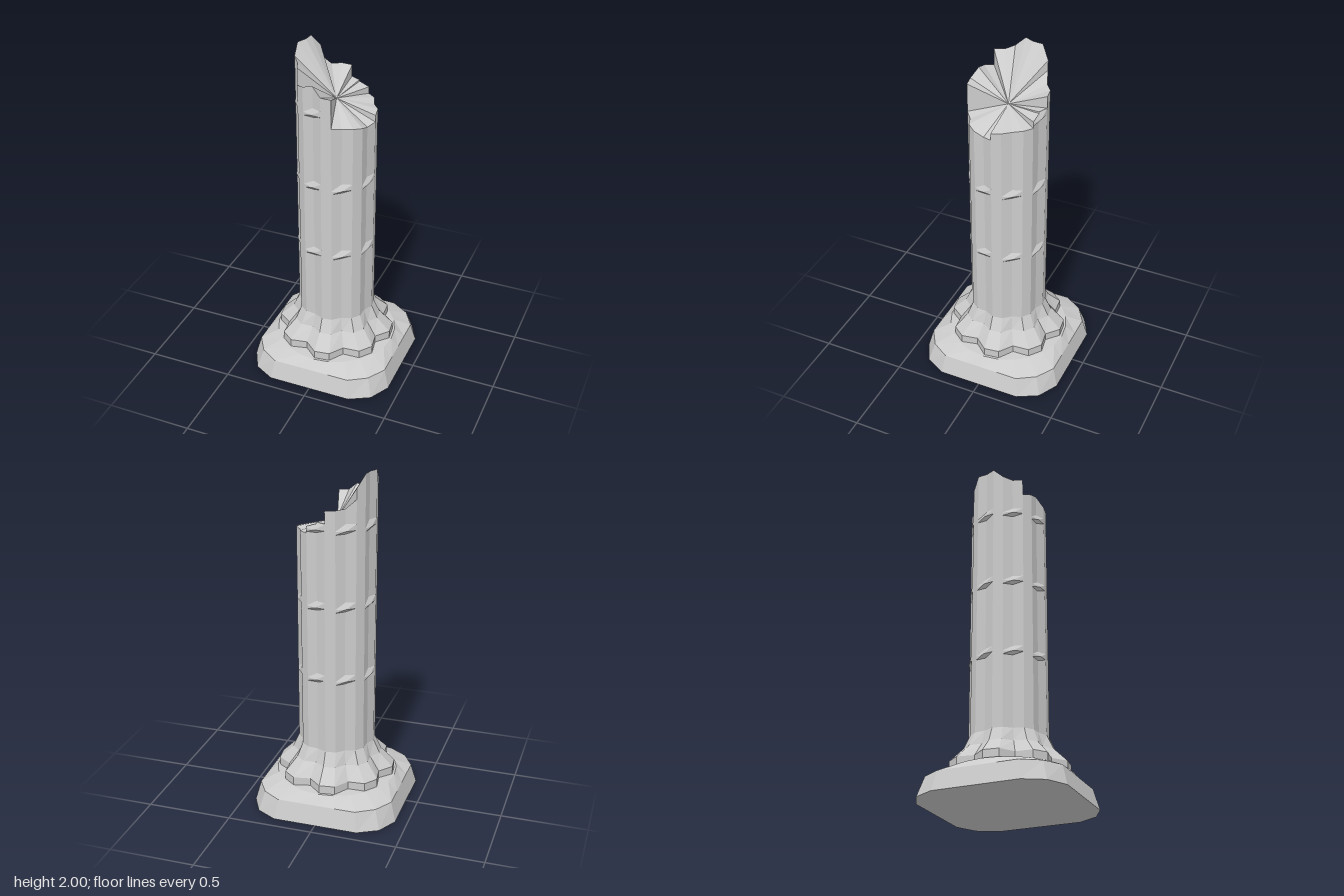
import * as THREE from 'three';

const N = 24; // three columns per flute: two on the ridge, one in the groove
const material = new THREE.MeshStandardMaterial({ color: 0xcccccc, flatShading: true, side: THREE.DoubleSide });

const isGroove = (i) => i % 3 === 2;
const polar = (i, r, y) => {
  const a = (i / N) * Math.PI * 2;
  return [Math.sin(a) * r, y, Math.cos(a) * r];
};

function makeMesh(name, triangles) {
  const geometry = new THREE.BufferGeometry();
  geometry.setAttribute('position', new THREE.Float32BufferAttribute(triangles.flat(2), 3));
  geometry.computeVertexNormals();
  const mesh = new THREE.Mesh(geometry, material);
  mesh.name = name;
  return mesh;
}

// Joins a stack of rings, each a function from column index to a point
function loft(rings) {
  const tris = [];
  for (let k = 0; k + 1 < rings.length; k++) {
    for (let i = 0; i < N; i++) {
      const j = (i + 1) % N;
      const a = rings[k](i), b = rings[k](j), c = rings[k + 1](j), d = rings[k + 1](i);
      tris.push([a, b, c], [a, c, d]);
    }
  }
  return tris;
}

// Square ring with chamfered corners
const squareRing = (half, corner, y) => (i) => {
  const a = (i / N) * Math.PI * 2;
  const straight = half / Math.max(Math.abs(Math.sin(a)), Math.abs(Math.cos(a)));
  return polar(i, Math.min(straight, i % 6 === 3 ? corner : Infinity), y);
};
const roundRing = (r, y) => (i) => polar(i, r, y);
const flutedRing = (ridge, groove, y) => (i) => polar(i, isGroove(i) ? groove : ridge, y);

// Shaft: the grooves close up at each drum joint
const RIDGE = 0.225, GROOVE = 0.207, SHAFT_Y = 0.375;
const JOINTS = [0.82, 1.255, 1.7];
function shaftRadius(i, y) {
  if (!isGroove(i)) return RIDGE;
  let r = GROOVE;
  for (const joint of JOINTS) {
    const reach = y > joint ? 0.035 : 0.02;
    r = Math.max(r, THREE.MathUtils.lerp(RIDGE, GROOVE, Math.min(1, Math.abs(y - joint) / reach)));
  }
  return r;
}

// Height of the break at each column; a pair is a sudden step
const BREAK = [
  1.815, [1.81, 1.64], 1.63, 1.63, 1.62, 1.6,
  [1.61, 1.65], 1.66, 1.66, 1.67, [1.67, 1.71], [1.73, 1.74],
  [1.74, 1.81], 1.815, 1.82, [1.87, 1.93], 2, 2,
  2, 1.945, 1.93, [1.93, 1.83], 1.845, 1.86,
].map((h) => (Array.isArray(h) ? h : [h, h]));

function shaftTriangles() {
  const levels = [SHAFT_Y, ...JOINTS.flatMap((y) => [y - 0.02, y, y + 0.035]), 2];
  const tris = [];
  for (let i = 0; i < N; i++) {
    const j = (i + 1) % N;
    const point = (col, y, top) => {
      const h = Math.min(y, top);
      return polar(col, shaftRadius(col, h), h);
    };
    for (let k = 0; k + 1 < levels.length; k++) {
      const a = point(i, levels[k], BREAK[i][1]), b = point(j, levels[k], BREAK[j][0]);
      const c = point(j, levels[k + 1], BREAK[j][0]), d = point(i, levels[k + 1], BREAK[i][1]);
      if (c[1] > b[1]) tris.push([a, b, c]);
      if (d[1] > a[1]) tris.push([a, c, d]);
    }
  }
  return tris;
}

// Jagged facets running from the rim to the middle, with walls at the steps
function breakTriangles() {
  const centre = [0, 1.71, 0];
  const rim = (i, side) => polar(i, shaftRadius(i, BREAK[i][side]), BREAK[i][side]);
  const tris = [];
  for (let i = 0; i < N; i++) {
    tris.push([rim(i, 1), rim((i + 1) % N, 0), centre]);
    if (BREAK[i][0] !== BREAK[i][1]) tris.push([centre, rim(i, 0), rim(i, 1)]);
  }
  return tris;
}

export function createModel() {
  const group = new THREE.Group();
  group.name = 'brokenColumn';

  // Sloped plinth with a flat underside
  const bottom = squareRing(0.43, 0.518, 0);
  const plinth = loft([bottom, squareRing(0.4, 0.474, 0.115), roundRing(0.355, 0.165), roundRing(0.28, 0.17)]);
  for (let i = 0; i < N; i++) plinth.push([[0, 0, 0], bottom((i + 1) % N), bottom(i)]);
  group.add(makeMesh('plinth', plinth));

  // Fluted foot flaring out from the shaft
  group.add(makeMesh('flaredFoot', loft([
    flutedRing(0.342, 0.289, 0.165),
    flutedRing(0.342, 0.289, 0.215),
    flutedRing(0.262, 0.23, 0.295),
    flutedRing(RIDGE, GROOVE, SHAFT_Y),
  ])));

  group.add(makeMesh('flutedShaft', shaftTriangles()));
  group.add(makeMesh('brokenTop', breakTriangles()));
  return group;
}
